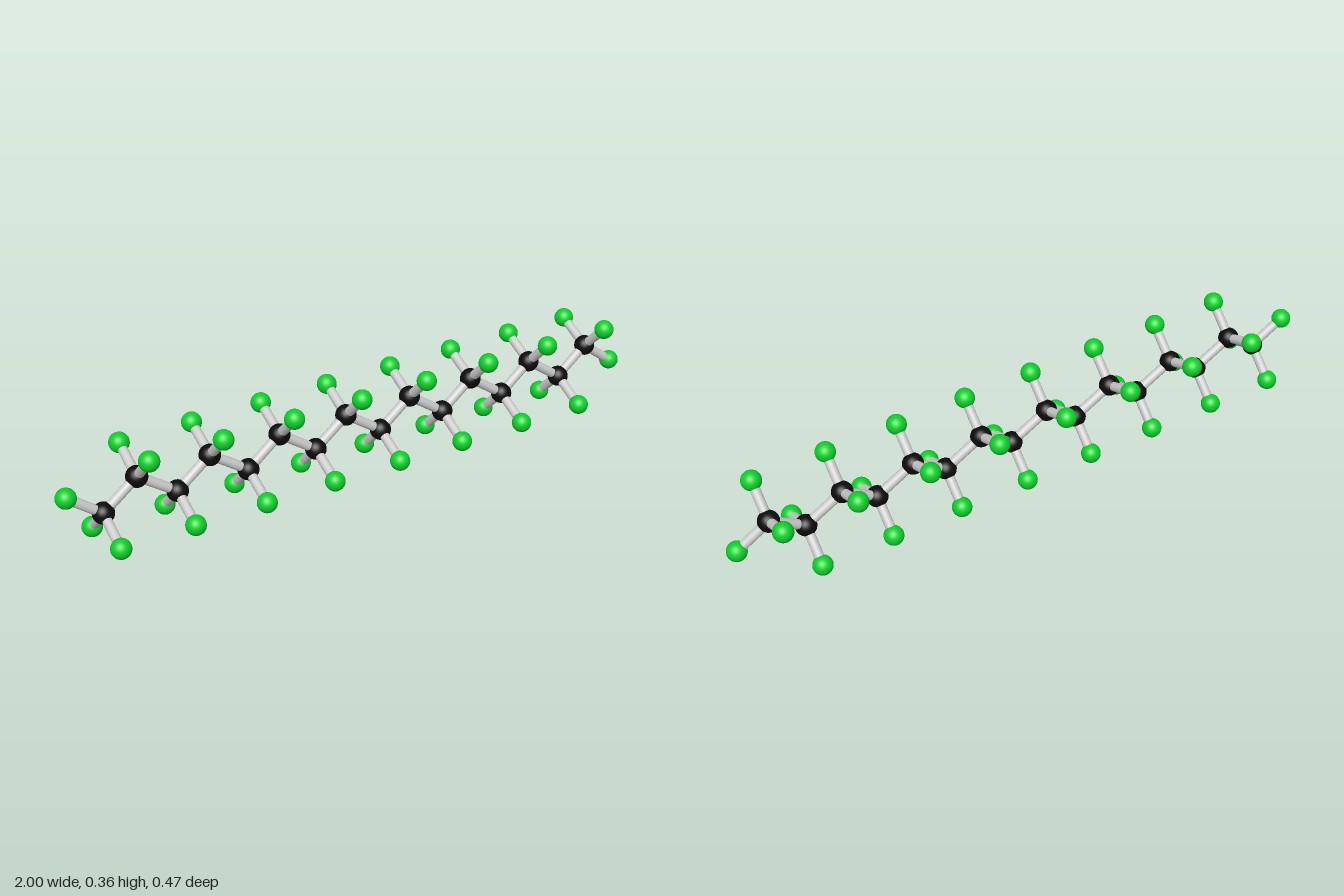
import * as THREE from 'three';

const COUNT = 16;       // carbon atoms in the chain
const MID_Y = 0.186;    // height of the chain's centre
const BOND_R = 0.015;

export function createModel() {
  const model = new THREE.Group();
  model.name = 'moleculeChain';

  const black = new THREE.MeshStandardMaterial({ color: 0x0b0b0b });
  const green = new THREE.MeshStandardMaterial({ color: 0x0bd02a });
  const grey = new THREE.MeshStandardMaterial({ color: 0xcccccc });
  const carbonGeo = new THREE.SphereGeometry(0.033, 32, 20);
  const hydrogenGeo = new THREE.SphereGeometry(0.031, 32, 20);
  const bondGeo = new THREE.CylinderGeometry(BOND_R, BOND_R, 1, 20, 1, true);
  const up = new THREE.Vector3(0, 1, 0);

  function atom(name, geometry, material, position) {
    const mesh = new THREE.Mesh(geometry, material);
    mesh.name = name;
    mesh.position.copy(position);
    model.add(mesh);
  }

  // Straight rod between two atom centres; its ends are hidden in the atoms
  function bond(name, a, b) {
    const dir = b.clone().sub(a);
    const mesh = new THREE.Mesh(bondGeo, grey);
    mesh.name = name;
    mesh.position.copy(a).add(b).multiplyScalar(0.5);
    mesh.scale.y = dir.length();
    mesh.quaternion.setFromUnitVectors(up, dir.normalize());
    model.add(mesh);
  }

  function hydrogen(carbon, offset) {
    const p = carbon.clone().add(offset);
    atom('hydrogenAtom', hydrogenGeo, green, p);
    bond('hydrogenBond', carbon, p);
  }

  // Zigzag backbone, slightly tilted down and turned towards the front
  const carbons = [];
  for (let i = 0; i < COUNT; i++) {
    const t = i - (COUNT - 1) / 2;
    const side = i % 2 ? 1 : -1;
    carbons.push(new THREE.Vector3(
      0.116 * t,
      MID_Y - 0.0027 * t + 0.04 * side,
      0.0125 * t - 0.006 * side
    ));
  }

  // Two hydrogens per carbon, point-mirrored on the lower row
  const frontOffset = new THREE.Vector3(-0.004, 0.093, 0.085);
  const backOffset = new THREE.Vector3(0.017, 0.051, -0.118);
  carbons.forEach((c, i) => {
    const side = i % 2 ? 1 : -1;
    atom('carbonAtom', carbonGeo, black, c);
    if (i > 0) bond('backboneBond', carbons[i - 1], c);
    hydrogen(c, frontOffset.clone().multiplyScalar(side));
    hydrogen(c, backOffset.clone().multiplyScalar(side));
  });

  // One extra hydrogen caps each end
  const capOffset = new THREE.Vector3(0.099, -0.077, 0.024);
  hydrogen(carbons[COUNT - 1], capOffset);
  hydrogen(carbons[0], capOffset.clone().negate());

  return model;
}
